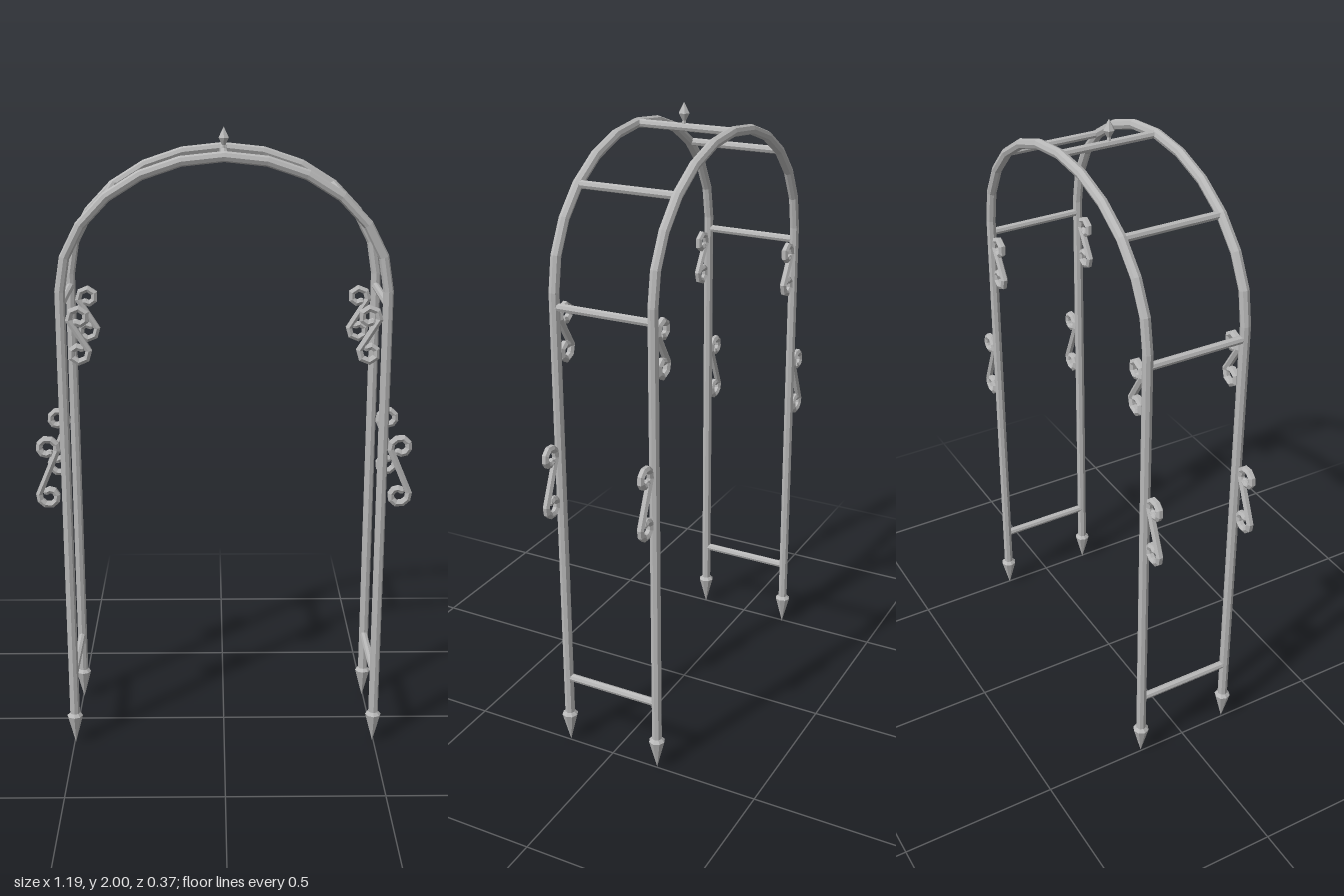
import * as THREE from 'three';

// Curve through straight segments, with mitred directions at the corners
class Polyline extends THREE.Curve {
  constructor(points) { super(); this.points = points; }
  getPoint(t, target = new THREE.Vector3()) {
    const n = this.points.length - 1;
    const i = Math.min(Math.floor(t * n + 1e-6), n - 1);
    return target.lerpVectors(this.points[i], this.points[i + 1], t * n - i);
  }
  getTangent(t, target = new THREE.Vector3()) {
    const p = this.points, n = p.length - 1, i = Math.round(t * n);
    target.set(0, 0, 0);
    if (i > 0) target.add(p[i].clone().sub(p[i - 1]).normalize());
    if (i < n) target.add(p[i + 1].clone().sub(p[i]).normalize());
    return target.normalize();
  }
  getPointAt(t, target) { return this.getPoint(t, target); }
  getTangentAt(t, target) { return this.getTangent(t, target); }
}

const HALF_W = 0.496, HALF_D = 0.16, SPRING = 1.525, RISE = 0.4;

export function createModel() {
  const group = new THREE.Group();
  group.name = 'gardenArch';
  const iron = new THREE.MeshStandardMaterial({ color: 0xb8b8b8 });
  iron.name = 'greyIron';
  iron.flatShading = true;

  const add = (name, geometry, x = 0, y = 0, z = 0) => {
    const mesh = new THREE.Mesh(geometry, iron);
    mesh.name = name;
    mesh.position.set(x, y, z);
    group.add(mesh);
    return mesh;
  };
  const tube = (pts, r, sides) => new THREE.TubeGeometry(new Polyline(pts), pts.length - 1, r, sides);
  const lathe = (profile, sides) =>
    new THREE.LatheGeometry(profile.map(([r, y]) => new THREE.Vector2(r, y)), sides);

  // Posts and arch in one bent tube
  const archPoints = [new THREE.Vector3(-HALF_W, 0.1, 0)];
  for (let i = 0; i <= 12; i++) {
    const a = Math.PI * (1 - i / 12);
    archPoints.push(new THREE.Vector3(HALF_W * Math.cos(a), SPRING + RISE * Math.sin(a), 0));
  }
  archPoints.push(new THREE.Vector3(HALF_W, 0.1, 0));
  const archGeometry = tube(archPoints, 0.016, 8);

  // Ground spike
  const spikeGeometry = lathe([[0, 0], [0.026, 0.1], [0.014, 0.112], [0, 0.112]], 8);

  // S-shaped scroll: two inward curls joined by a slanting bar, side gives the direction of +u
  const scroll = (name, side, cx, yTop, yBottom, r, steps, tubeR, z) => {
    const upper = [];
    for (let i = 0; i <= steps; i++) {
      const k = i / steps, a = THREE.MathUtils.degToRad(-120 + 310 * k);
      const rad = r * (0.5 + 0.5 * Math.min(1, k * 1.7));
      upper.push([Math.cos(a) * rad, Math.sin(a) * rad]);
    }
    const pts = upper.map(([u, v]) => new THREE.Vector3(cx + side * u, yTop + v, 0));
    for (const [u, v] of upper.reverse()) pts.push(new THREE.Vector3(cx - side * u, yBottom - v, 0));
    add(name, tube(pts, tubeR, 6), 0, 0, z);
    // Rounded tips
    for (const p of [pts[0], pts[pts.length - 1]])
      add(name + 'Tip', new THREE.SphereGeometry(tubeR, 6, 4), p.x, p.y, z);
  };

  for (const z of [-HALF_D, HALF_D]) {
    add('archRail', archGeometry, 0, 0, z);
    for (const s of [-1, 1]) {
      add('groundSpike', spikeGeometry, s * HALF_W, 0, z);
      scroll('outerScroll', s, s * 0.552, 1.03, 0.876, 0.031, 8, 0.012, z);
      scroll('innerScroll', -s, s * 0.443, 1.444, 1.338, 0.03, 6, 0.012, z);
    }
  }

  // Cross bars between the two rails
  const barGeometry = new THREE.CylinderGeometry(0.0125, 0.0125, HALF_D * 2, 8);
  const c = Math.SQRT1_2;
  const bars = [[0, SPRING + RISE]];
  for (const s of [-1, 1])
    bars.push([s * HALF_W * c, SPRING + RISE * c], [s * HALF_W, 1.483], [s * HALF_W, 0.24]);
  for (const [x, y] of bars) add('crossBar', barGeometry, x, y, 0).rotation.x = Math.PI / 2;

  // Finial on the top bar
  add('finial', lathe([[0.009, 1.925], [0.006, 1.945], [0.018, 1.967], [0.009, 1.983], [0, 2]], 6));

  return group;
}
